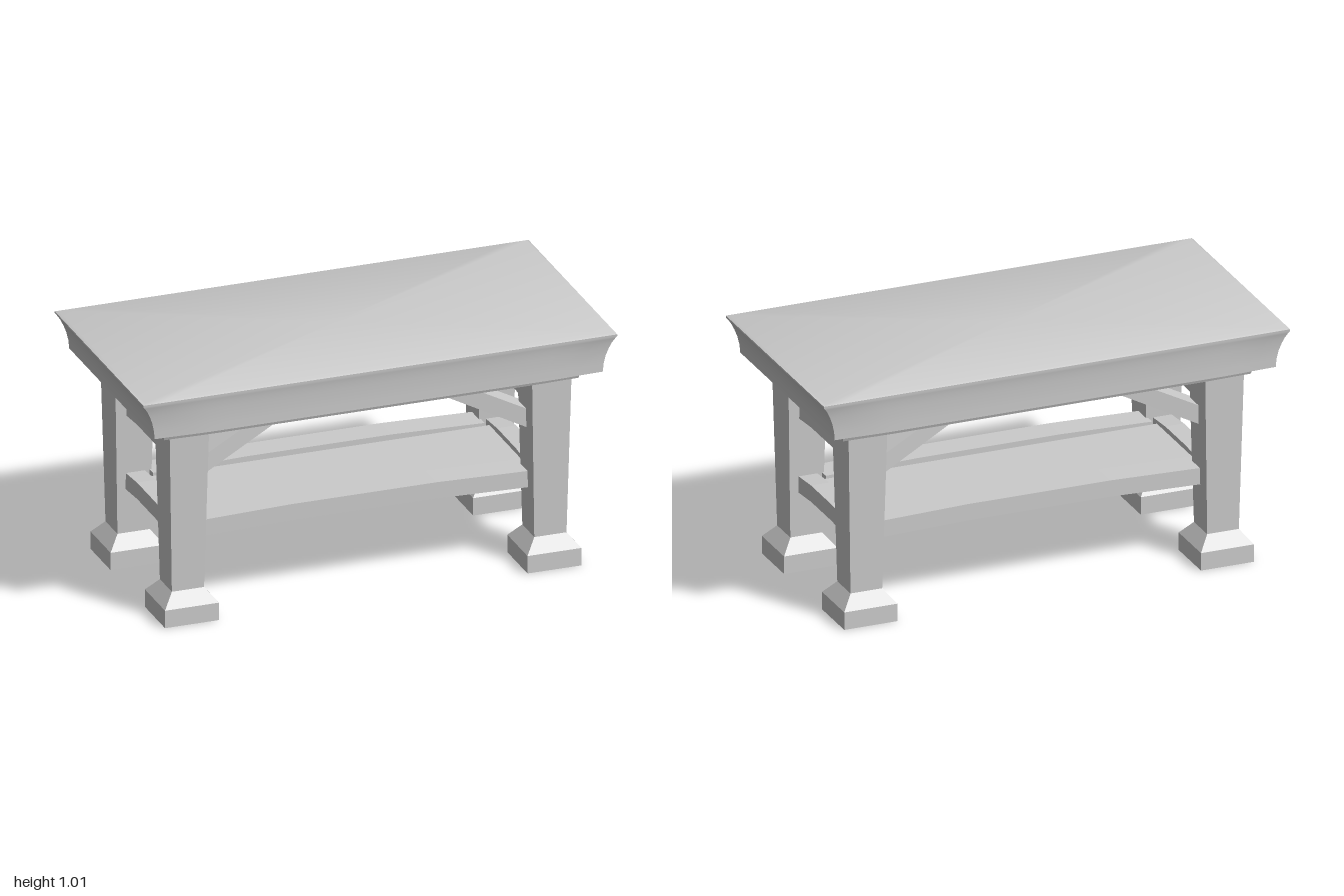
import * as THREE from 'three';
import { toCreasedNormals } from 'three/addons/utils/BufferGeometryUtils.js';

const material = new THREE.MeshStandardMaterial({ color: 0xcccccc });

function add(group, geometry, name, x = 0, y = 0, z = 0) {
  const mesh = new THREE.Mesh(geometry, material);
  mesh.name = name;
  mesh.position.set(x, y, z);
  group.add(mesh);
  return mesh;
}

// Rectangular outline at one height; the long sides swell by bow away from the corners
function ring(y, hx, hz, bow = 0, steps = 1) {
  const points = [];
  for (const s of [1, -1]) {
    for (let i = 0; i <= steps; i++) {
      const u = -1 + (2 * i) / steps;
      const swell = bow * THREE.MathUtils.smoothstep(1 - Math.abs(u), 0, 0.25);
      points.push([s * u * hx, y, s * (hz + swell)]);
    }
  }
  return points;
}

// Closed solid through a stack of outlines, lowest first
function loft(rings, crease = 0.6) {
  const n = rings[0].length;
  const last = (rings.length - 1) * n;
  const positions = rings.flat(2);
  const index = [];
  for (let r = 0; r < rings.length - 1; r++) {
    for (let i = 0; i < n; i++) {
      const a = r * n + i;
      const b = r * n + ((i + 1) % n);
      index.push(a, b, b + n, a, b + n, a + n);
    }
  }
  const bottom = positions.length / 3;
  positions.push(0, rings[0][0][1], 0, 0, rings[rings.length - 1][0][1], 0);
  for (let i = 0; i < n; i++) {
    const j = (i + 1) % n;
    index.push(bottom, j, i, bottom + 1, last + i, last + j);
  }
  const geometry = new THREE.BufferGeometry();
  geometry.setAttribute('position', new THREE.Float32BufferAttribute(positions, 3));
  geometry.setIndex(index);
  return toCreasedNormals(geometry.toNonIndexed(), crease);
}

// Side outline in x and y, extruded along z and centred on it
function slab(points, depth) {
  const shape = new THREE.Shape(points.map(([x, y]) => new THREE.Vector2(x, y)));
  const geometry = new THREE.ExtrudeGeometry(shape, { depth, bevelEnabled: false });
  return geometry.translate(0, 0, -depth / 2);
}

// Rail with a slightly raised middle
function archedRail(half, height, depth) {
  const knee = half * 0.44;
  const rise = 0.011;
  return slab([
    [-half, 0], [-knee, rise], [knee, rise], [half, 0],
    [half, height], [knee, height + rise], [-knee, height + rise], [-half, height],
  ], depth);
}

export function createModel() {
  const group = new THREE.Group();

  // Tabletop with a concave moulded edge
  const edge = [
    [0.85, 0.946, 0.479, 0.009], [0.885, 0.949, 0.48, 0.008], [0.92, 0.957, 0.482, 0.007],
    [0.95, 0.968, 0.486, 0.005], [0.975, 0.98, 0.49, 0.003], [0.993, 0.992, 0.495, 0.001],
    [1.003, 1, 0.498, 0], [1.01, 1, 0.498, 0], [1.015, 0.988, 0.487, 0],
  ];
  add(group, loft(edge.map(([y, hx, hz, bow]) => ring(y, hx, hz, bow, 24))), 'tabletop');

  // Flared apron under the top
  const apron = [[0.8, 0.875, 0.395, 0.006], [0.825, 0.878, 0.404, 0.006], [0.852, 0.885, 0.414, 0.008]];
  add(group, loft(apron.map(([y, hx, hz, bow]) => ring(y, hx, hz, bow, 24))), 'apron');

  const legGeometry = loft([ring(0.13, 0.068, 0.067), ring(0.802, 0.083, 0.083)], 0.1);
  const footGeometry = loft([
    ring(0, 0.114, 0.113), ring(0.075, 0.114, 0.113), ring(0.131, 0.068, 0.067),
  ], 0.1);

  for (const sx of [1, -1]) {
    for (const sz of [1, -1]) {
      // Tapered legs on block feet
      add(group, legGeometry, 'leg', sx * 0.765, 0, sz * 0.305);
      add(group, footGeometry, 'foot', sx * 0.765, 0, sz * 0.305);

      // Diagonal braces, leaning towards the middle
      const brace = slab([
        [sx * 0.7, 0.575], [sx * 0.7, 0.655], [sx * 0.37, 0.82], [sx * 0.22, 0.82],
      ], 0.115);
      const position = brace.attributes.position;
      for (let i = 0; i < position.count; i++) {
        const lean = 0.1 * (Math.abs(position.getX(i)) - 0.69);
        position.setZ(i, position.getZ(i) + sz * (0.253 + lean));
      }
      brace.computeVertexNormals();
      add(group, brace, 'brace');
    }

    // End rails between front and back legs
    for (const [y, height, name] of [[0.64, 0.06, 'upperEndRail'], [0.32, 0.07, 'lowerEndRail']]) {
      const rail = add(group, archedRail(0.24, height, 0.08), name, sx * 0.76, y, 0);
      rail.rotation.y = Math.PI / 2;
    }

    // Long rails along the shelf
    add(group, archedRail(0.7, 0.07, 0.12), 'longRail', 0, 0.322, sx * 0.252);
  }

  // Shelf panel set between the rails
  add(group, new THREE.BoxGeometry(1.45, 0.035, 0.386), 'shelf', 0, 0.362, 0);

  return group;
}
